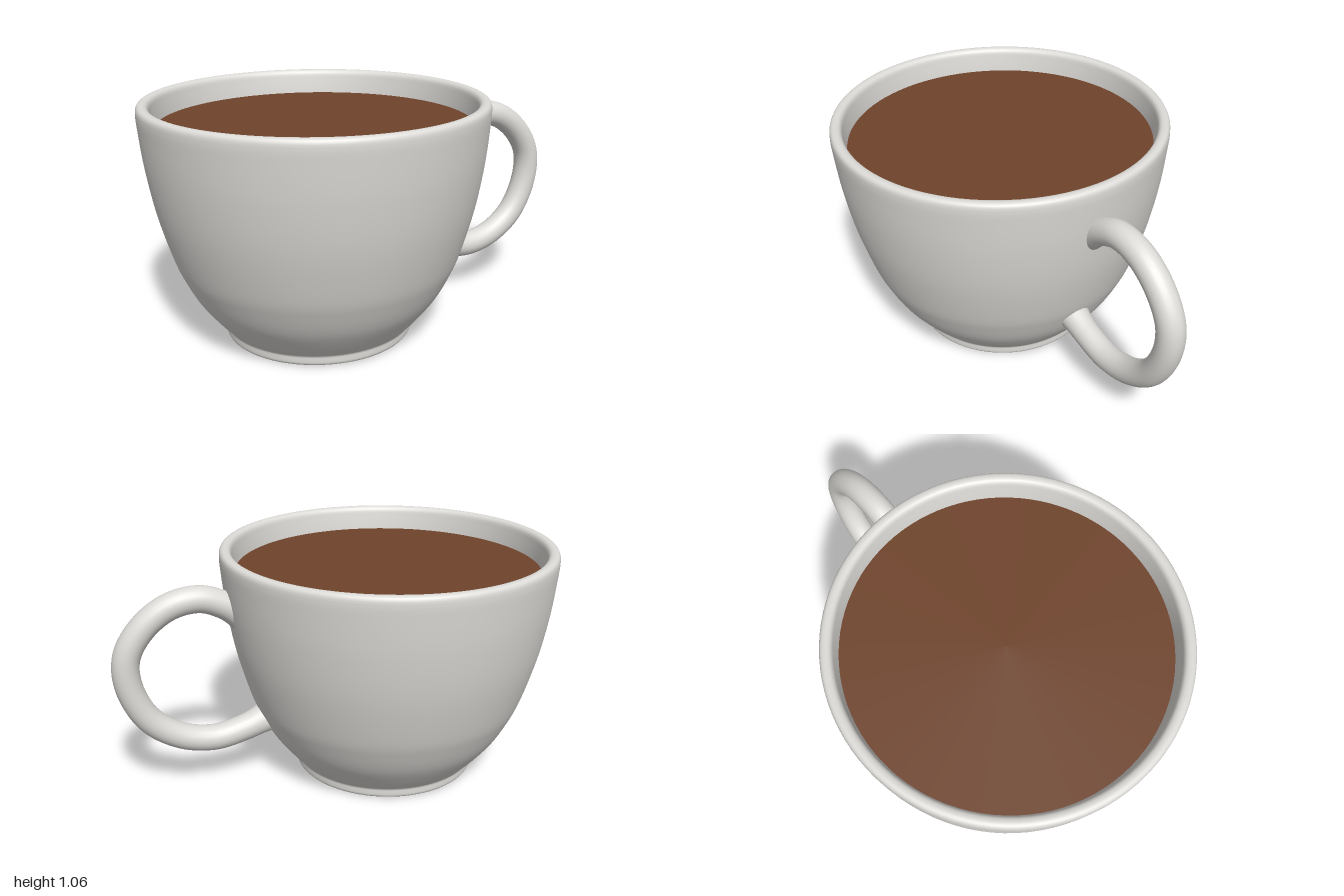
import * as THREE from 'three';

const CUP_X = -0.25;
const v2 = (x, y) => new THREE.Vector2(x, y);

// Closed cup profile: foot, outer wall, rounded rim, inner wall
function cupProfile() {
  const p = new THREE.Path();
  p.moveTo(0, 0);
  p.lineTo(0.385, 0);
  p.lineTo(0.395, 0);
  p.quadraticCurveTo(0.422, 0, 0.422, 0.02);
  p.lineTo(0.422, 0.034);
  p.quadraticCurveTo(0.42, 0.047, 0.43, 0.055);
  p.splineThru([
    v2(0.475, 0.105), v2(0.547, 0.2), v2(0.6, 0.3), v2(0.64, 0.4),
    v2(0.695, 0.6), v2(0.73, 0.8), v2(0.748, 0.98), v2(0.75, 1.03),
  ]);
  p.quadraticCurveTo(0.75, 1.06, 0.727, 1.06);
  p.lineTo(0.722, 1.06);
  p.quadraticCurveTo(0.698, 1.06, 0.695, 1.03);
  p.splineThru([
    v2(0.684, 0.95), v2(0.67, 0.8), v2(0.635, 0.6), v2(0.58, 0.4),
    v2(0.48, 0.2), v2(0.36, 0.09), v2(0.2, 0.07),
  ]);
  p.lineTo(0, 0.07);
  return p.getPoints(6);
}

// Round tube whose ends flare softly where they meet the wall
function handleGeometry() {
  const path = new THREE.CatmullRomCurve3([
    [0.43, 0.81], [0.51, 0.86], [0.61, 0.895], [0.74, 0.875],
    [0.86, 0.79], [0.933, 0.67], [0.933, 0.53], [0.86, 0.37],
    [0.73, 0.27], [0.58, 0.235], [0.44, 0.26], [0.32, 0.305],
  ].map(([x, y]) => new THREE.Vector3(x, y, 0)));
  const steps = 96, sides = 24;
  const geo = new THREE.TubeGeometry(path, steps, 0.059, sides);
  const pos = geo.attributes.position;
  const v = new THREE.Vector3();
  for (let i = 0; i <= steps; i++) {
    const t = i / steps;
    const centre = path.getPointAt(t);
    const flare = 1 + 0.3 * Math.exp(-Math.min(t, 1 - t) * 35);
    for (let j = 0; j <= sides; j++) {
      const k = i * (sides + 1) + j;
      v.fromBufferAttribute(pos, k).sub(centre).multiplyScalar(flare).add(centre);
      pos.setXYZ(k, v.x, v.y, v.z);
    }
  }
  return geo;
}

export function createModel() {
  const ceramic = new THREE.MeshStandardMaterial({ color: 0xdddbd7 });
  ceramic.name = 'ceramic';
  const coffee = new THREE.MeshStandardMaterial({ color: 0x6f432a });
  coffee.name = 'coffee';

  const group = new THREE.Group();
  group.name = 'coffeeCup';
  const add = (name, geometry, material) => {
    const mesh = new THREE.Mesh(geometry, material);
    mesh.name = name;
    group.add(mesh);
    return mesh;
  };

  // Cup body
  add('cupBody', new THREE.LatheGeometry(cupProfile(), 96), ceramic).position.x = CUP_X;

  // Drink surface, tucked slightly into the wall
  const drink = add('coffeeSurface', new THREE.CircleGeometry(0.688, 96), coffee);
  drink.rotation.x = -Math.PI / 2;
  drink.position.set(CUP_X, 0.95, 0);

  // Handle on the model's left
  add('handle', handleGeometry(), ceramic);

  return group;
}
